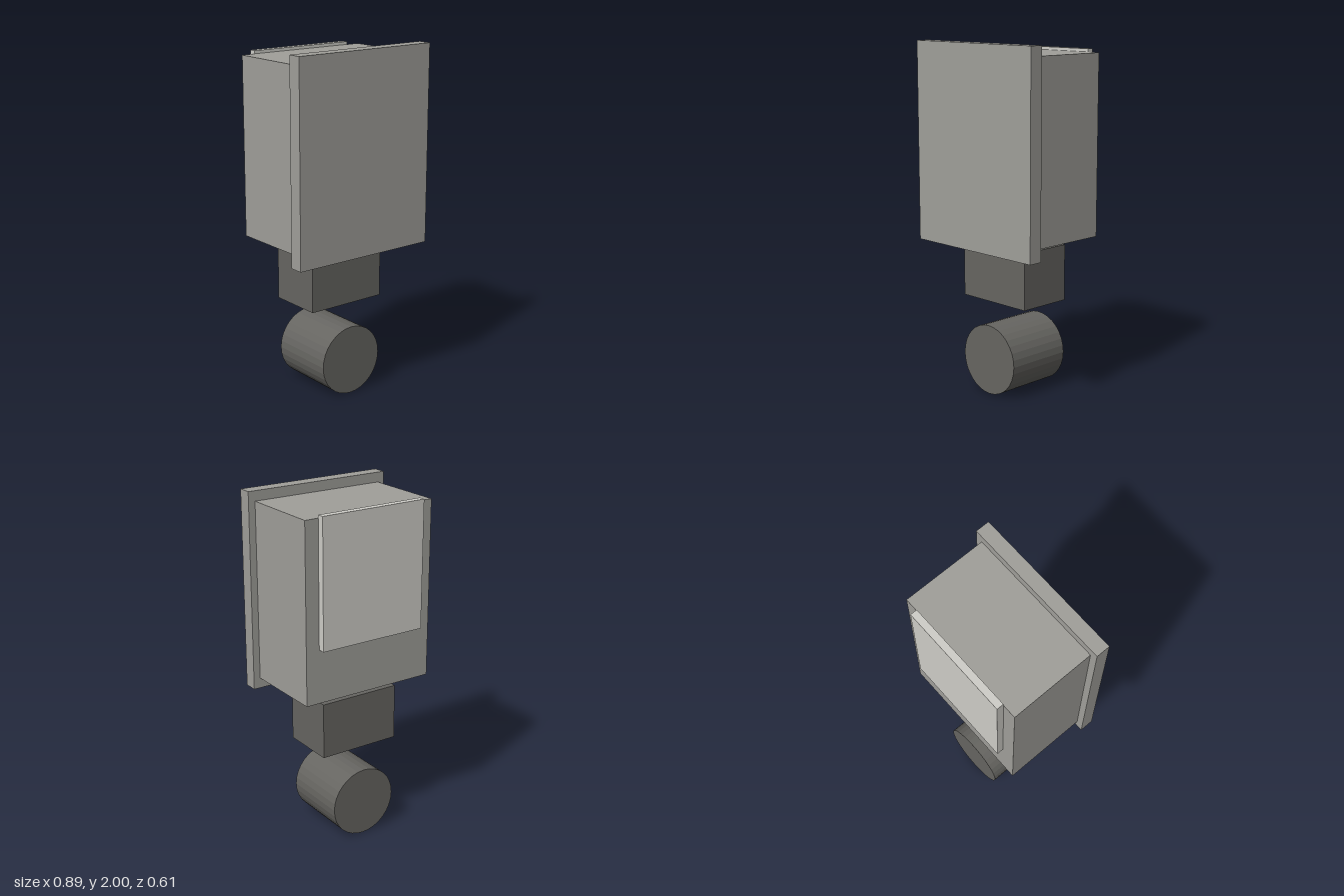
import * as THREE from 'three';

const material = (color) => new THREE.MeshStandardMaterial({ color, flatShading: true });

export function createModel() {
  const model = new THREE.Group();
  const grey = material(0xa09f9a);
  const dark = material(0x666561);
  const light = material(0xcfcec8);

  // Box centred on x, given its width and its y and z extents
  function box(name, width, [y0, y1], [z0, z1], mat) {
    const mesh = new THREE.Mesh(new THREE.BoxGeometry(width, y1 - y0, z1 - z0), mat);
    mesh.position.set(0, (y0 + y1) / 2, (z0 + z1) / 2);
    mesh.name = name;
    model.add(mesh);
  }

  // Housing with an overhanging front plate and a thin rear panel
  box('frontPlate', 0.894, [0.86, 2], [0.224, 0.305], grey);
  box('housing', 0.813, [0.92, 1.943], [-0.265, 0.224], grey);
  box('rearPanel', 0.65, [1.228, 1.96], [-0.305, -0.265], light);

  // Separate block below the housing
  box('lowerBlock', 0.49, [0.535, 0.86], [-0.182, 0.143], dark);

  // Free-standing drum lying along z
  const drum = new THREE.Mesh(new THREE.CylinderGeometry(0.203, 0.203, 0.407, 32), dark);
  drum.rotation.x = Math.PI / 2;
  drum.position.set(0, 0.203, -0.02);
  drum.name = 'drum';
  model.add(drum);

  return model;
}
